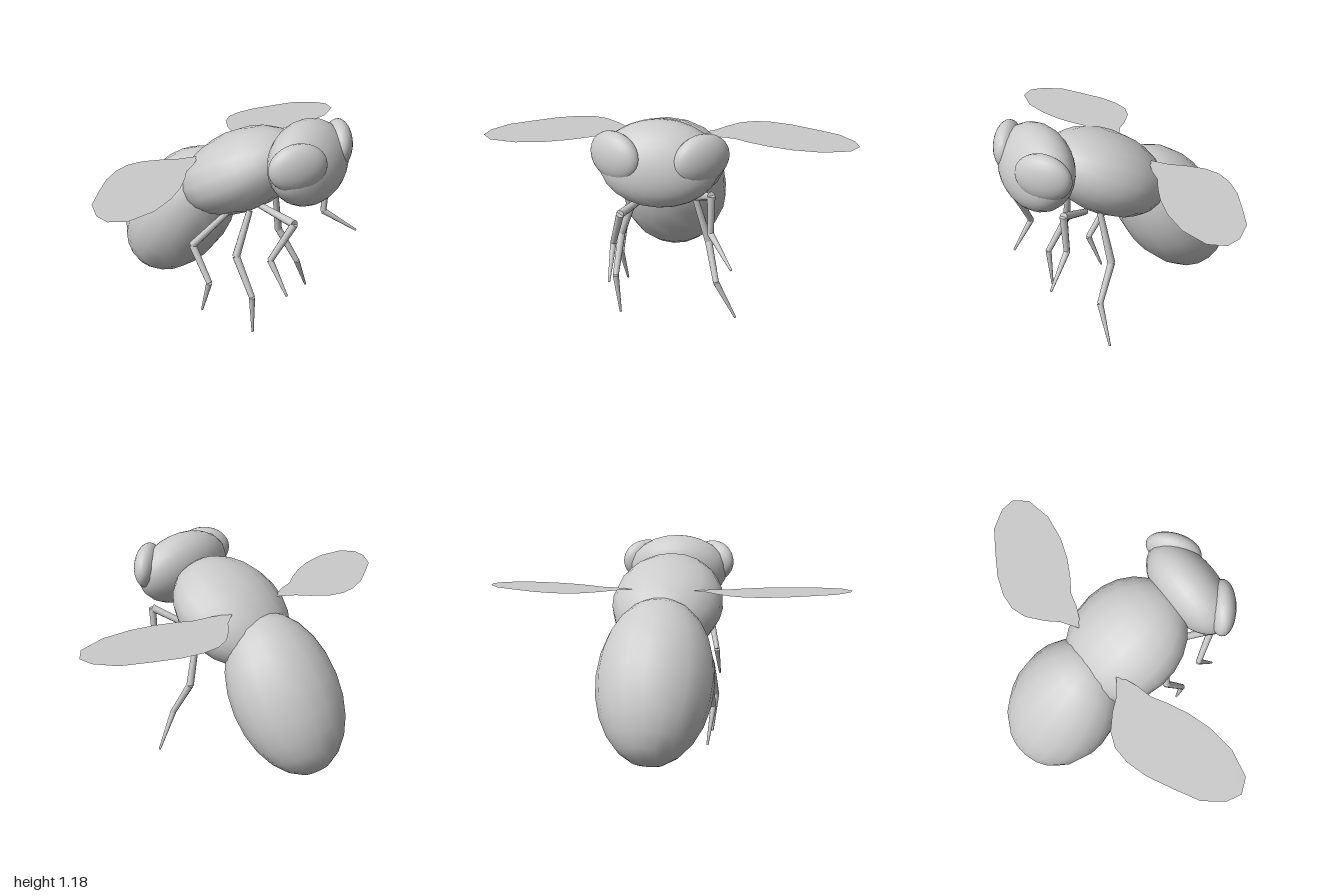
import * as THREE from 'three';

const grey = new THREE.MeshStandardMaterial({ color: 0xcccccc });
const thin = new THREE.MeshStandardMaterial({ color: 0xcccccc, side: THREE.DoubleSide });

export function createModel() {
  const model = new THREE.Group();
  model.name = 'fly';

  // Smooth ellipsoid: centre, half sizes, rotation
  function ellipsoid(name, pos, radii, rot, w = 18, h = 12) {
    const geo = new THREE.SphereGeometry(1, w, h);
    geo.rotateZ(-Math.PI / 2); // poles along the long axis
    const mesh = new THREE.Mesh(geo, grey);
    mesh.name = name;
    mesh.position.set(...pos);
    mesh.scale.set(...radii);
    mesh.rotation.set(...rot);
    model.add(mesh);
  }

  // Body
  ellipsoid('abdomen', [-0.325, 0.492, 0], [0.455, 0.277, 0.31], [0, 0, 0.995]);
  ellipsoid('thorax', [0.09, 0.838, 0], [0.36, 0.218, 0.31], [0, 0, 0.52]);
  ellipsoid('head', [0.49, 0.98, 0], [0.161, 0.213, 0.292], [0, 0, 0.33], 24, 16);

  // Flattened eyes facing forward and outward
  for (const s of [1, -1]) {
    const yaw = s > 0 ? 0.927 : Math.PI - 0.927;
    ellipsoid(s > 0 ? 'nearEye' : 'farEye', [0.545, 1.03, s * 0.204], [0.15, 0.122, 0.071], [0, yaw, 0], 24, 16);
  }

  // Wings: flat outlines, mirrored across the body
  const outline = [
    [-0.09, 0.165], [-0.15, 0.25], [-0.21, 0.3], [-0.28, 0.38], [-0.31, 0.46], [-0.305, 0.55],
    [-0.27, 0.66], [-0.2, 0.79], [-0.13, 0.91], [-0.03, 0.985], [0.05, 1], [0.12, 0.945],
    [0.15, 0.8], [0.13, 0.65], [0.09, 0.53], [0.04, 0.43], [-0.01, 0.35], [-0.03, 0.27], [-0.06, 0.2],
  ];
  for (const s of [1, -1]) {
    const shape = new THREE.Shape(outline.map(([x, z]) => new THREE.Vector2(x, s * z)));
    const wing = new THREE.Mesh(new THREE.ShapeGeometry(shape).rotateX(Math.PI / 2), thin);
    wing.name = s > 0 ? 'nearWing' : 'farWing';
    wing.position.y = 0.93;
    model.add(wing);
  }

  // Legs: hip, knee, ankle and foot tip, with tapered segments
  const legs = {
    nearRearLeg: [[0.13, 0.68, 0.17], [-0.06, 0.45, 0.25], [0.06, 0.26, 0.265], [-0.01, 0.05, 0.24]],
    nearMiddleLeg: [[0.24, 0.7, 0.15], [0.215, 0.46, 0.235], [0.33, 0.26, 0.255], [0.325, 0.03, 0.235]],
    nearFrontLeg: [[0.25, 0.71, 0.08], [0.53, 0.72, 0.19], [0.43, 0.51, 0.245], [0.54, 0.34, 0.255]],
    farMiddleLeg: [[0.21, 0.7, -0.15], [0.19, 0.42, -0.23], [0.29, 0.22, -0.28], [0.295, 0.008, -0.39]],
    farFrontLeg: [[0.28, 0.71, -0.12], [0.47, 0.81, -0.25], [0.46, 0.6, -0.25], [0.61, 0.48, -0.36]],
  };
  const radii = [[0.016, 0.021], [0.02, 0.016], [0.017, 0.006]];
  const parts = ['thigh', 'shin', 'foot'];
  const up = new THREE.Vector3(0, 1, 0);
  for (const [name, joints] of Object.entries(legs)) {
    const leg = new THREE.Group();
    leg.name = name;
    const pts = joints.map((p) => new THREE.Vector3(...p));
    radii.forEach(([r0, r1], i) => {
      const dir = pts[i + 1].clone().sub(pts[i]);
      const mesh = new THREE.Mesh(new THREE.CylinderGeometry(r1, r0, dir.length(), 10), grey);
      mesh.name = parts[i];
      mesh.position.copy(pts[i]).addScaledVector(dir, 0.5);
      mesh.quaternion.setFromUnitVectors(up, dir.normalize());
      leg.add(mesh);
    });
    model.add(leg);
  }
  return model;
}
